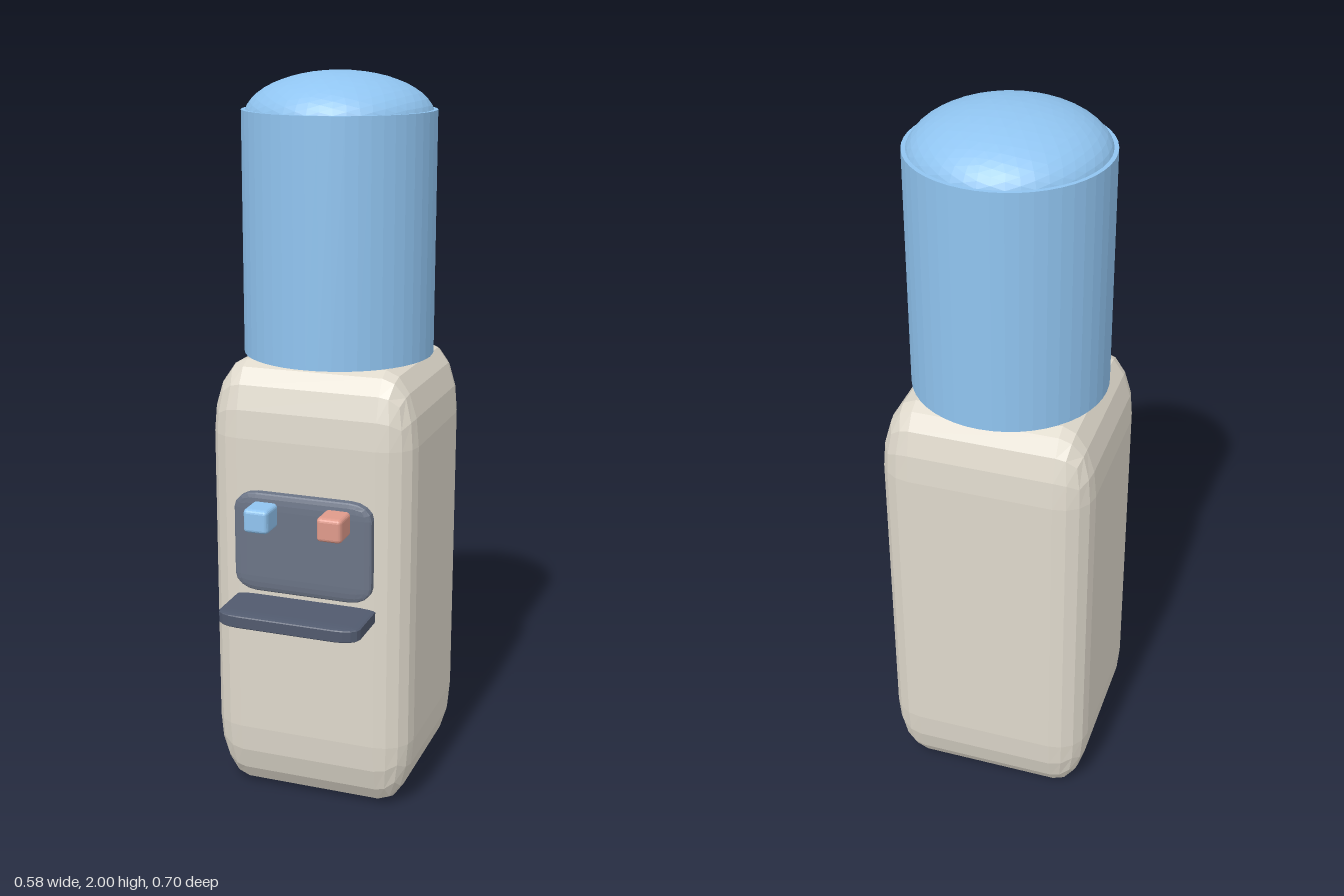
import * as THREE from 'three';

// Unit cube with rounded edges (four facets per quarter turn), stretched to the given extents.
function roundedBlock(x, y, z, r = 0.16) {
  const geo = new THREE.BoxGeometry(5, 5, 5, 5, 5, 5);
  const pos = geo.attributes.position;
  const v = new THREE.Vector3();
  const bend = (c) => Math.sign(c) * Math.tan(((Math.abs(c) - 0.5) / 2) * (Math.PI / 4));
  for (let i = 0; i < pos.count; i++) {
    v.fromBufferAttribute(pos, i);
    const core = new THREE.Vector3(Math.sign(v.x), Math.sign(v.y), Math.sign(v.z)).multiplyScalar(0.5 - r);
    v.set(bend(v.x), bend(v.y), bend(v.z)).normalize().multiplyScalar(r).add(core);
    pos.setXYZ(i, v.x, v.y, v.z);
  }
  geo.scale(x[1] - x[0], y[1] - y[0], z[1] - z[0]);
  geo.translate((x[0] + x[1]) / 2, (y[0] + y[1]) / 2, (z[0] + z[1]) / 2);
  geo.computeVertexNormals();
  return geo;
}

export function createModel() {
  const group = new THREE.Group();
  const paint = (color) => new THREE.MeshStandardMaterial({ color, flatShading: true });
  const cream = paint(0xded8cb);
  const blue = paint(0x90c4f0);
  const slate = paint(0x6b7486);
  const darkSlate = paint(0x515a6e);
  const coral = paint(0xdf9a8b);

  const add = (name, geometry, material) => {
    const mesh = new THREE.Mesh(geometry, material);
    mesh.name = name;
    group.add(mesh);
    return mesh;
  };

  // Cabinet
  add('cabinet', roundedBlock([-0.288, 0.288], [0, 1.25], [-0.35, 0.19]), cream);

  // Bottle with a squashed dome on top
  add('bottle', new THREE.CylinderGeometry(0.26, 0.26, 0.65, 48), blue).position.set(0, 1.575, -0.08);
  const dome = add('bottleDome', new THREE.IcosahedronGeometry(1, 7), blue);
  dome.scale.set(0.253, 0.12, 0.253);
  dome.position.set(0, 1.88, -0.08);

  // Dispenser panel and drip tray
  add('panel', roundedBlock([-0.195, 0.195], [0.63, 0.91], [0.16, 0.22]), slate);
  add('dripTray', roundedBlock([-0.2, 0.2], [0.568, 0.61], [0.13, 0.348]), darkSlate);

  // Cold and hot taps
  for (const [name, x, material] of [['coldTap', -0.103, blue], ['hotTap', 0.103, coral]]) {
    add(name, roundedBlock([x - 0.035, x + 0.035], [0.822, 0.888], [0.2, 0.293]), material);
  }

  return group;
}
